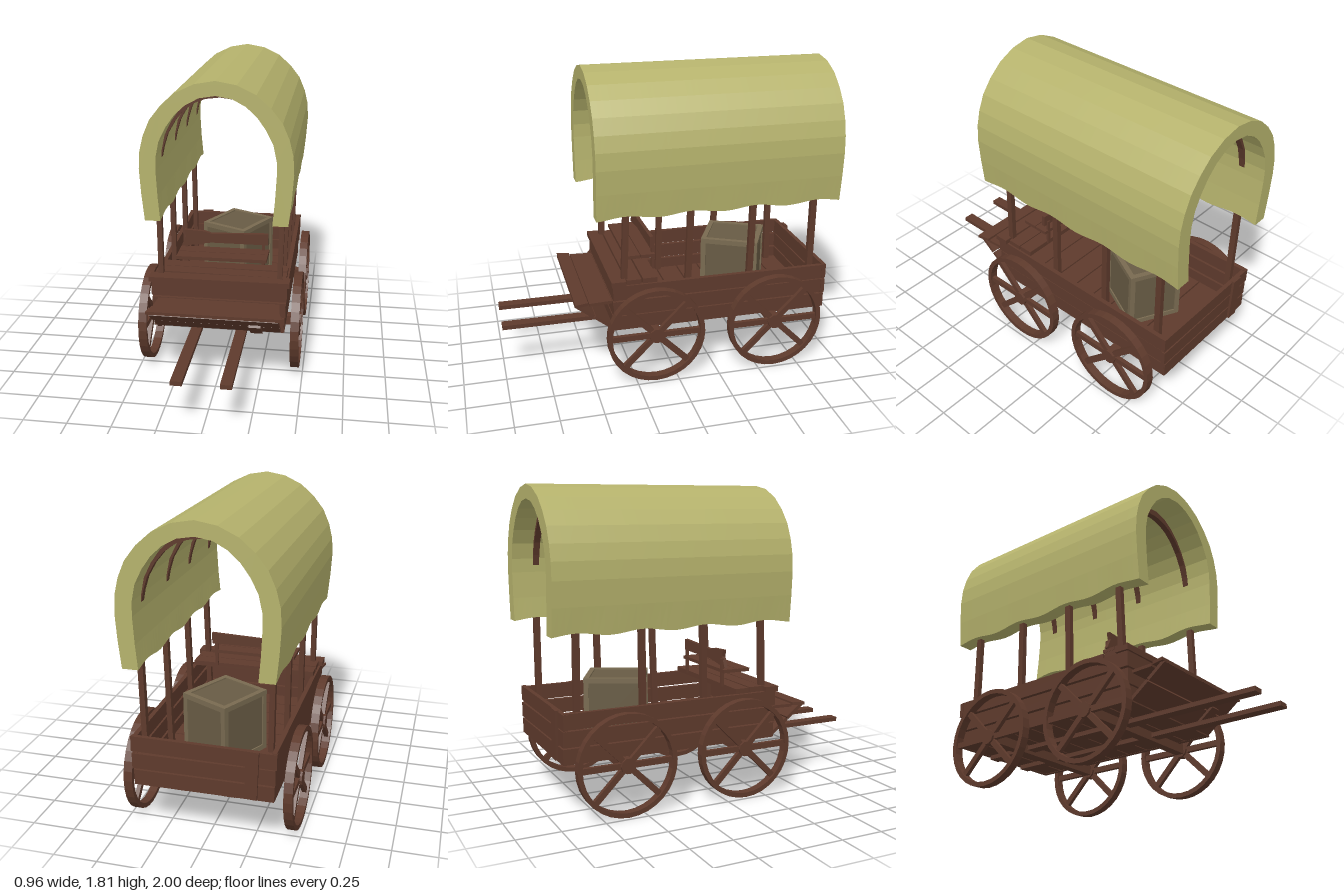
import * as THREE from 'three';

const mat = (name, color) => Object.assign(new THREE.MeshStandardMaterial({ color, flatShading: true }), { name });

export function createModel() {
  const wood = mat('dark wood', 0x5e3a2c);
  const cloth = mat('canvas', 0xb5b26c);
  const crateFrame = mat('crate frame', 0x786a50);
  const cratePanel = mat('crate panel', 0x685b44);
  const model = new THREE.Group();
  model.name = 'coveredWagon';

  let seed = 7;
  const jitter = (a) => {
    seed = (seed * 16807) % 2147483647;
    return (seed / 2147483647 - 0.5) * 2 * a;
  };
  const add = (name, geo, material, parent = model) => {
    const m = new THREE.Mesh(geo, material);
    m.name = name;
    parent.add(m);
    return m;
  };
  const box = (name, w, h, d, x, y, z, material = wood, parent = model) => {
    const m = add(name, new THREE.BoxGeometry(w, h, d), material, parent);
    m.position.set(x, y, z);
    return m;
  };
  // straight bar between two points
  const bar = (name, a, b, w, d) => {
    const p = new THREE.Vector3(...a), q = new THREE.Vector3(...b);
    const m = add(name, new THREE.BoxGeometry(w, p.distanceTo(q), d), wood);
    m.position.copy(p).add(q).multiplyScalar(0.5);
    m.quaternion.setFromUnitVectors(new THREE.Vector3(0, 1, 0), q.sub(p).normalize());
    return m;
  };
  // closed band between an outer and an inner half arch, mirrored in x
  const full = (half) => [...half, ...half.slice(0, -1).reverse().map(([x, y]) => [-x, y])];
  const band = (outer, inner, depth, steps) => {
    const pts = [...full(outer), ...full(inner).reverse()].map(([x, y]) => new THREE.Vector2(x, y));
    return new THREE.ExtrudeGeometry(new THREE.Shape(pts), { depth, steps, bevelEnabled: false });
  };

  // canvas cover with a wavy lower hem
  const outer = [[0.405, 1.01], [0.421, 1.17], [0.43, 1.31], [0.424, 1.41], [0.402, 1.5], [0.363, 1.59],
    [0.3, 1.67], [0.22, 1.74], [0.115, 1.79], [0, 1.81]];
  const inner = [[0.316, 1.01], [0.328, 1.15], [0.336, 1.3], [0.334, 1.38], [0.315, 1.47], [0.275, 1.55],
    [0.225, 1.62], [0.165, 1.675], [0.09, 1.715], [0, 1.73]];
  const cover = band(outer, inner, 1.46, 40);
  cover.translate(0, 0, -1);
  const pos = cover.attributes.position;
  for (let i = 0; i < pos.count; i++) {
    if (pos.getY(i) < 1.02) pos.setY(i, 1.02 + 0.01 * Math.cos((pos.getZ(i) - 0.29) * 2 * Math.PI / 0.385));
  }
  cover.computeVertexNormals();
  add('canvasCover', cover, cloth);

  // hoops under the canvas and the posts that carry them
  const hoopIn = [[0.334, 1.34], [0.322, 1.4], [0.298, 1.475], [0.255, 1.55], [0.205, 1.61],
    [0.145, 1.655], [0.08, 1.68], [0, 1.69]];
  const hoopOut = [[0.345, 1.34], [0.338, 1.4], [0.32, 1.47], [0.28, 1.55], [0.23, 1.62],
    [0.168, 1.68], [0.09, 1.72], [0, 1.735]];
  [[0.31, 0.28], [-0.08, -0.1], [-0.465, -0.478], [-0.855, -0.855]].forEach(([zb, zt]) => {
    const hoop = add('coverHoop', band(hoopOut, hoopIn, 0.036, 1), wood);
    hoop.position.z = zt - 0.018;
    for (const s of [-1, 1]) bar('coverPost', [s * 0.348, 0.33, zb], [s * 0.362, 1.15, zt], 0.03, 0.036);
  });

  // bed: plank walls on all four sides
  [0.36, 0.458, 0.556].forEach((y, i) => {
    const h = 0.088;
    for (const s of [-1, 1]) {
      const p = box('sidePlank', 0.026, h, 1.31 + jitter(0.01), s * (0.378 + i * 0.005), y, -0.285);
      p.rotation.x = jitter(0.003);
    }
    const w = 0.77 + i * 0.014;
    box('frontPlank', w, h, 0.025, jitter(0.005), y, 0.36);
    const t = box('tailPlank', w + 0.01, h, 0.025, jitter(0.005), y, -0.935);
    t.rotation.z = jitter(0.008);
  });
  const strap = box('tailStrap', 0.07, 0.28, 0.02, -0.27, 0.465, -0.952);
  strap.rotation.z = 0.04;

  // floor planks
  for (let i = 0; i < 9; i++) box('floorPlank', 0.75, 0.02, 0.134, 0, 0.328, 0.285 - i * 0.143);

  // draw poles and underframe
  for (const s of [-1, 1]) box('drawPole', 0.064, 0.026, 1.9, s * 0.134, 0.298, 0.05);
  for (const z of [0.13, -0.605]) box('axleBeam', 0.87, 0.058, 0.055, 0, 0.294, z);

  // wheels
  const R = 0.2925;
  const rimShape = new THREE.Shape().absarc(0, 0, R, 0, Math.PI * 2);
  rimShape.holes.push(new THREE.Path().absarc(0, 0, R - 0.027, 0, Math.PI * 2, true));
  const rimGeo = new THREE.ExtrudeGeometry(rimShape, { depth: 0.05, curveSegments: 16, bevelEnabled: false });
  rimGeo.translate(0, 0, -0.025).rotateY(Math.PI / 2);
  const hubGeo = new THREE.CylinderGeometry(0.045, 0.045, 0.05, 10).rotateZ(Math.PI / 2);
  const spokeGeo = new THREE.BoxGeometry(0.025, 0.255, 0.034).translate(0, 0.15, 0);
  for (const s of [-1, 1]) for (const z of [0.13, -0.605]) {
    const wheel = new THREE.Group();
    wheel.name = 'wheel';
    wheel.position.set(s * 0.453, R, z);
    add('rim', rimGeo, wood, wheel);
    add('hub', hubGeo, wood, wheel);
    for (const deg of [45, 90, 135, 225, 270, 315]) {
      add('spoke', spokeGeo, wood, wheel).rotation.x = THREE.MathUtils.degToRad(deg);
    }
    model.add(wheel);
  }

  // driver's deck
  [0.34, 0.245, 0.15].forEach((z, i) => {
    const d = box('deckPlank', i ? 0.78 : 0.83, 0.03, 0.086, 0, 0.617, z);
    d.rotation.z = jitter(0.008);
  });

  // bench with a worn backrest
  for (const z of [0.225, 0.135]) box('benchSeat', 0.54, 0.02, 0.085, 0, 0.716, z).rotation.z = jitter(0.005);
  for (const s of [-1, 1]) box('benchPost', 0.018, 0.17, 0.016, s * 0.235, 0.705, 0.1);
  const back = new THREE.Shape([[-0.265, 0.735], [-0.08, 0.765], [0.265, 0.765], [0.265, 0.835], [-0.08, 0.822],
    [-0.12, 0.835], [-0.245, 0.842], [-0.235, 0.8]].map(([x, y]) => new THREE.Vector2(x, y)));
  add('benchBack', new THREE.ExtrudeGeometry(back, { depth: 0.022, bevelEnabled: false }), wood).position.z = 0.1;

  // footrest: flaring top boards over sloping lower boards
  const flare = (zf, zb, wf, wb) => {
    const s = new THREE.Shape([[-wf, -zf], [wf, -zf], [wb, -zb], [-wb, -zb]].map(([x, y]) => new THREE.Vector2(x, y)));
    const g = new THREE.ExtrudeGeometry(s, { depth: 0.018, bevelEnabled: false });
    return add('footBoard', g.rotateX(-Math.PI / 2), wood);
  };
  flare(0.592, 0.515, 0.39, 0.372).position.y = 0.488;
  flare(0.508, 0.37, 0.37, 0.36).position.y = 0.48;
  [[0.535, 0.452], [0.425, 0.368]].forEach(([z, y]) => {
    box('slopingBoard', 0.74, 0.02, 0.132, 0, y, z).rotation.x = -0.658;
  });
  box('footBracket', 0.07, 0.018, 0.16, 0.23, 0.37, 0.455).rotation.x = -0.658;

  // framed crate, turned in the bed
  const crate = new THREE.Group();
  crate.name = 'crate';
  crate.position.set(0.01, 0.34, -0.48);
  crate.rotation.y = -0.476;
  const W = 0.325, H = 0.37, D = 0.35, t = 0.03;
  box('cratePanel', W - 0.016, H - 0.016, D - 0.016, 0, H / 2, 0, cratePanel, crate);
  for (const a of [-1, 1]) for (const b of [-1, 1]) {
    const x = a * (W - t) / 2, z = b * (D - t) / 2, y = H / 2 + b * (H - t) / 2;
    box('crateUpright', t, H, t, x, H / 2, z, crateFrame, crate);
    box('crateRail', W - 2 * t, t, t, 0, y, a * (D - t) / 2, crateFrame, crate);
    box('crateRail', t, t, D - 2 * t, x, y, 0, crateFrame, crate);
  }
  model.add(crate);

  return model;
}
